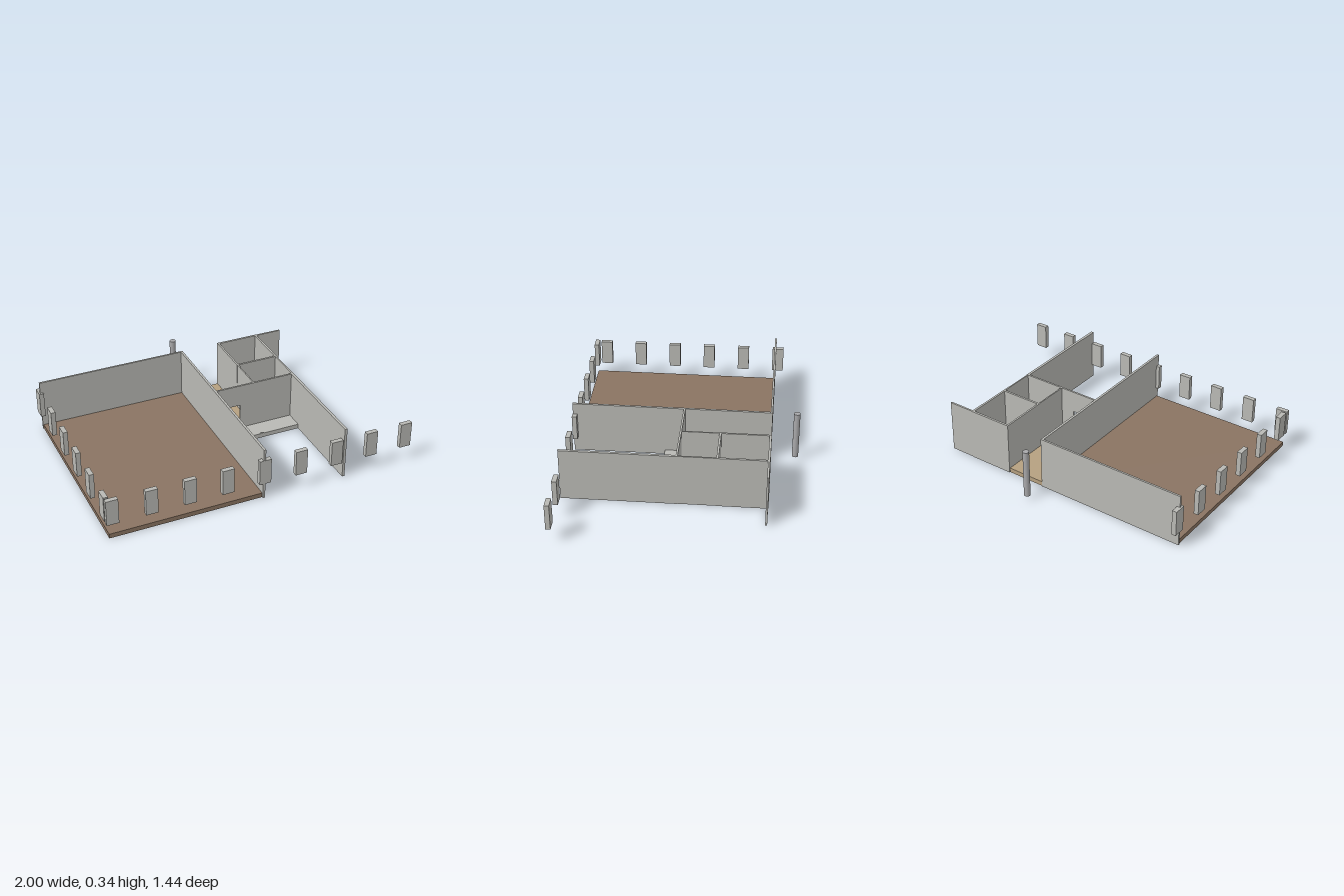
import * as THREE from 'three';

const mat = (name, color) => {
  const m = new THREE.MeshStandardMaterial({ color });
  m.name = name;
  return m;
};

export function createModel() {
  const model = new THREE.Group();
  model.name = 'floorPlan';
  const wallGrey = mat('wallGrey', 0xb9b9b4);
  const brown = mat('brownFloor', 0x8a7462);
  const tan = mat('tanFloor', 0xb5a080);
  const metal = mat('poleGrey', 0xa9a9ab);

  // Box given by its limits on each axis
  const block = (name, material, x0, x1, y0, y1, z0, z1) => {
    const mesh = new THREE.Mesh(new THREE.BoxGeometry(x1 - x0, y1 - y0, z1 - z0), material);
    mesh.position.set((x0 + x1) / 2, (y0 + y1) / 2, (z0 + z1) / 2);
    mesh.name = name;
    model.add(mesh);
  };
  const H = 0.345, SLAB = 0.03;
  const wall = (name, x0, x1, z0, z1) => block(name, wallGrey, x0, x1, 0, H, z0, z1);

  // Floors
  block('hallFloor', brown, -0.985, -0.014, 0, SLAB, -0.537, 0.71);
  block('corridorFloor', tan, 0.001, 0.256, 0, SLAB, -0.545, 0);
  block('roomFloor', wallGrey, 0.266, 0.529, 0, SLAB, -0.537, -0.244);
  block('porchSlab', wallGrey, 0.001, 0.526, 0, SLAB, 0.012, 0.132);
  block('porchStud', wallGrey, 0.253, 0.275, SLAB - 0.005, 0.036, 0.126, 0.137);

  // Long walls
  wall('hallBackWall', -0.99, -0.014, -0.549, -0.537);
  wall('centreWall', -0.014, 0.001, -0.549, 0.72);
  wall('rightFrontWall', 0.526, 0.543, 0.012, 0.72);
  wall('rightMiddleWall', 0.531, 0.541, -0.231, 0);
  wall('corridorWall', 0.256, 0.264, -0.231, 0);

  // Square back room and the wing wall beside it
  wall('roomBackWall', 0.254, 0.543, -0.551, -0.537);
  wall('roomFrontWall', 0.254, 0.543, -0.244, -0.231);
  wall('roomLeftWall', 0.254, 0.266, -0.537, -0.244);
  wall('roomRightWall', 0.529, 0.543, -0.537, -0.244);
  wall('wingWall', 0.543, 0.715, -0.549, -0.537);

  // Cross wall with a doorway
  const outline = new THREE.Shape([
    [0.001, 0], [0.063, 0], [0.063, 0.2], [0.165, 0.2],
    [0.165, 0], [0.543, 0], [0.543, H], [0.001, H],
  ].map(([x, y]) => new THREE.Vector2(x, y)));
  const doorWall = new THREE.Mesh(
    new THREE.ExtrudeGeometry(outline, { depth: 0.012, bevelEnabled: false }), wallGrey);
  doorWall.name = 'doorWall';
  model.add(doorWall);

  // Floating panels along the front and the right-hand side
  const PANEL = 0.076, GAP = 0.2405;
  for (let i = 0; i < 9; i++) {
    const x = -0.962 + i * GAP;
    block('frontPanel', wallGrey, x - PANEL / 2, x + PANEL / 2, 0.103, 0.27, 0.692, 0.722);
  }
  for (let i = 0; i < 6; i++) {
    const z = -0.561 + i * GAP;
    block('sidePanel', wallGrey, -1, -0.97, 0.103, 0.27, z - PANEL / 2, z + PANEL / 2);
  }

  // Round pole behind the building
  const pole = new THREE.Mesh(
    new THREE.CylinderGeometry(0.02, 0.02, H - SLAB, 32), metal);
  pole.position.set(-0.007, (H + SLAB) / 2, -0.702);
  pole.name = 'pole';
  model.add(pole);

  return model;
}
